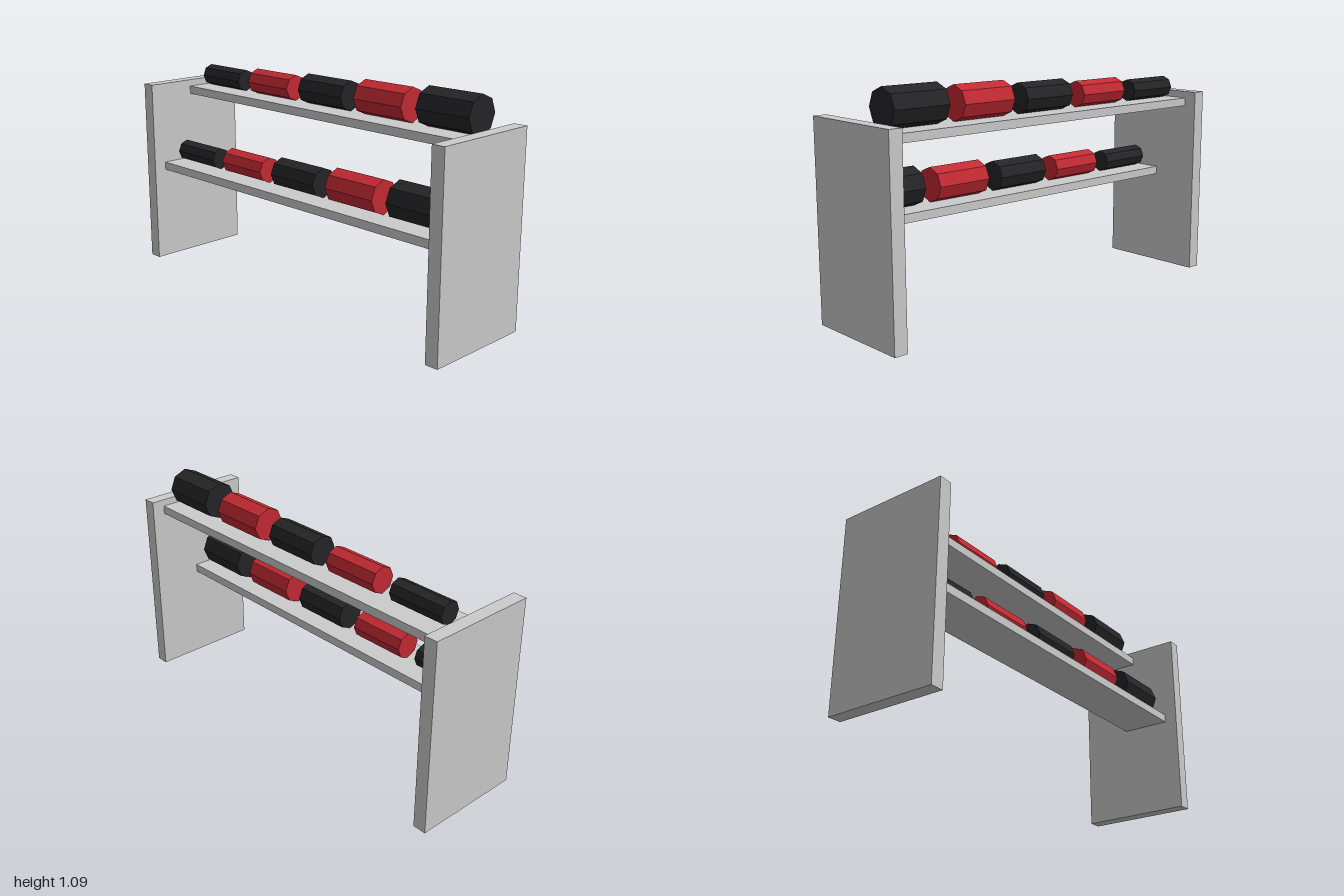
import * as THREE from 'three';

const grey = new THREE.MeshStandardMaterial({ color: 0xcccccc });
const black = new THREE.MeshStandardMaterial({ color: 0x252527, flatShading: true });
const red = new THREE.MeshStandardMaterial({ color: 0xc42a33, flatShading: true });

function box(name, w, h, d, x, y, z) {
  const mesh = new THREE.Mesh(new THREE.BoxGeometry(w, h, d), grey);
  mesh.name = name;
  mesh.position.set(x, y, z);
  return mesh;
}

// Eight-sided roll lying along x, resting on its lowest corner
function roll(name, radius, x, shelfTop, z, material) {
  const geometry = new THREE.CylinderGeometry(radius, radius, 0.288, 8).rotateZ(Math.PI / 2);
  const mesh = new THREE.Mesh(geometry, material);
  mesh.name = name;
  mesh.position.set(x, shelfTop + radius, z);
  return mesh;
}

export function createModel() {
  const model = new THREE.Group();
  model.name = 'rollRack';

  // Upright end panels
  for (const [side, s] of [['left', 1], ['right', -1]]) {
    model.add(box(side + 'EndPanel', 0.066, 0.944, 0.555, s * 0.967, 0.472, 0));
  }

  // Two staggered shelves, each with five rolls growing towards the left
  const shelves = [['lower', 0.521, 0.09], ['upper', 0.91, -0.091]];
  for (const [level, top, z] of shelves) {
    const shelf = new THREE.Group();
    shelf.name = level + 'Shelf';
    shelf.add(box(level + 'Board', 1.868, 0.041, 0.244, 0, top - 0.0205, z));
    for (let i = 0; i < 5; i++) {
      const radius = 0.0545 + i * 0.0091;
      shelf.add(roll(level + 'Roll' + (i + 1), radius, (i - 2) * 0.378, top, z, i % 2 ? red : black));
    }
    model.add(shelf);
  }
  return model;
}
